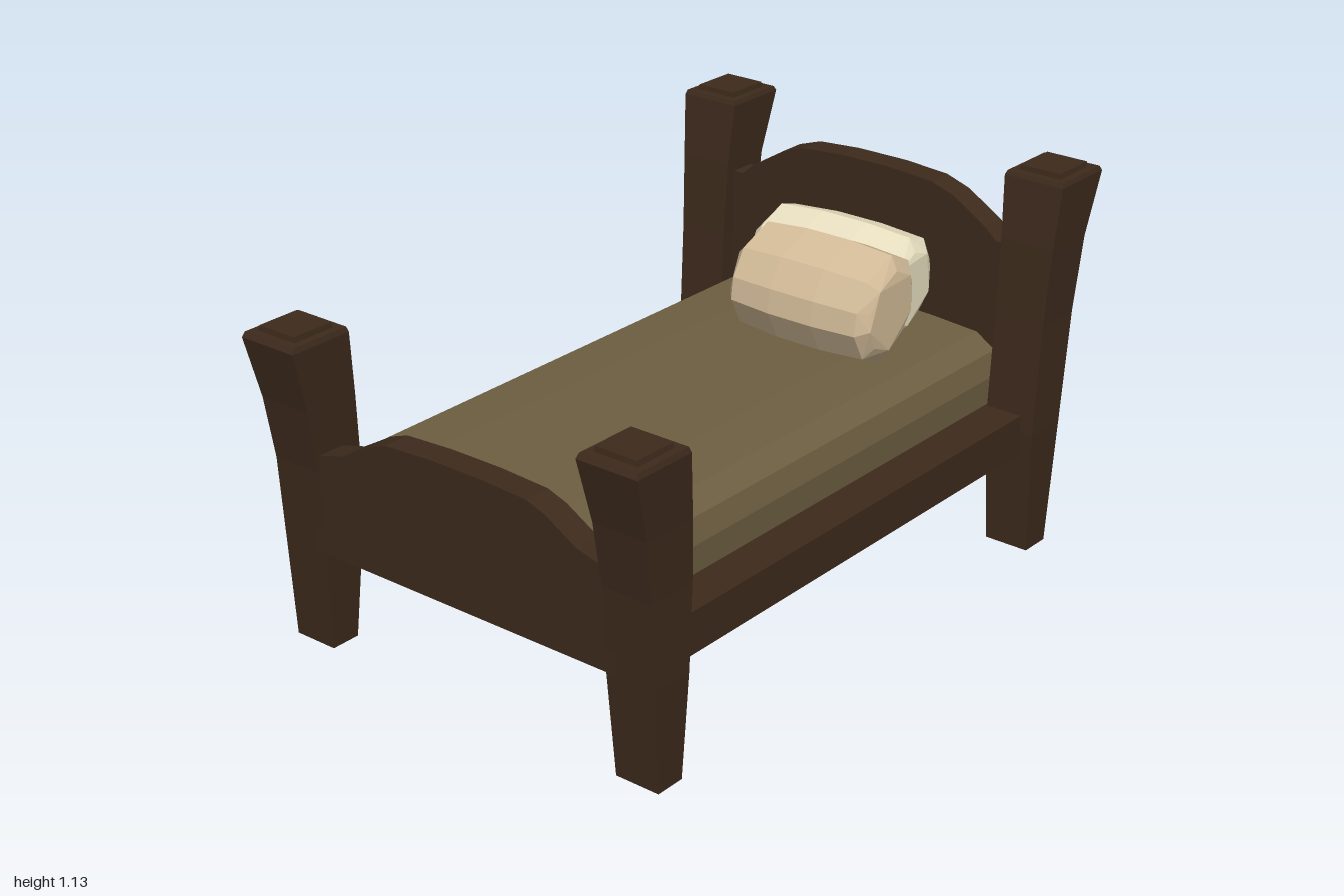
import * as THREE from 'three';
import { ConvexGeometry } from 'three/addons/geometries/ConvexGeometry.js';

const mat = (color) => new THREE.MeshStandardMaterial({ color, flatShading: true });

function addMesh(parent, name, geometry, material) {
  const mesh = new THREE.Mesh(geometry, material);
  mesh.name = name;
  parent.add(mesh);
  return mesh;
}

// Closed four-sided column from levels [y, xMin, xMax, zMin, zMax]; side -1 mirrors it in x
function columnGeometry(levels, side) {
  const rings = levels.map(([y, a, b, z0, z1]) => {
    const [x0, x1] = side > 0 ? [a, b] : [-b, -a];
    return [[x0, y, z1], [x1, y, z1], [x1, y, z0], [x0, y, z0]];
  });
  const pos = [];
  const quad = (a, b, c, d) => pos.push(...a, ...b, ...c, ...a, ...c, ...d);
  for (let i = 0; i < rings.length - 1; i++) {
    const lo = rings[i], hi = rings[i + 1];
    for (let k = 0; k < 4; k++) {
      const n = (k + 1) % 4;
      quad(lo[k], lo[n], hi[n], hi[k]);
    }
  }
  const top = rings[rings.length - 1], bottom = rings[0];
  quad(top[0], top[1], top[2], top[3]);
  quad(bottom[3], bottom[2], bottom[1], bottom[0]);
  const g = new THREE.BufferGeometry();
  g.setAttribute('position', new THREE.Float32BufferAttribute(pos, 3));
  g.computeVertexNormals();
  return g;
}

// Outline symmetric in x, given as its right half from bottom to top, extruded along z
function symmetricSlab(half, z0, z1) {
  const left = half.map(([x, y]) => [-x, y]).reverse();
  const shape = new THREE.Shape([...half, ...left].map(([x, y]) => new THREE.Vector2(x, y)));
  const g = new THREE.ExtrudeGeometry(shape, { depth: z1 - z0, bevelEnabled: false });
  return g.translate(0, 0, z0);
}

// Faceted cushion: the hull of one side outline [z, y] repeated at shrinking sections along x
function pillowGeometry(outline, x0, x1) {
  const n = outline.length;
  const cz = outline.reduce((s, p) => s + p[0], 0) / n;
  const cy = outline.reduce((s, p) => s + p[1], 0) / n;
  const mid = (x0 + x1) / 2, half = (x1 - x0) / 2;
  const points = [];
  for (const [t, s] of [[-1, 0.66], [-0.86, 0.93], [-0.3, 1], [0.3, 1], [0.88, 0.94], [1, 0.7]]) {
    outline.forEach(([z, y], i) => {
      const bend = Math.abs(t) === 1 ? 0.025 * (i % 2) : 0;
      points.push(new THREE.Vector3(mid + half * (t - Math.sign(t) * bend), cy + (y - cy) * s, cz + (z - cz) * s));
    });
  }
  return new ConvexGeometry(points);
}

export function createModel() {
  const bed = new THREE.Group();
  bed.name = 'bed';
  const wood = mat(0x3d2a1c);
  const cloth = mat(0x6e5f42);

  // Flared corner posts, each with a stepped cap
  const frontPost = [
    [0, 0.5, 0.637, 0.81, 0.9],
    [0.3, 0.486, 0.641, 0.785, 0.916],
    [0.54, 0.488, 0.643, 0.775, 0.93],
    [0.72, 0.484, 0.652, 0.785, 0.955],
    [0.9, 0.475, 0.663, 0.803, 1],
    [0.915, 0.48, 0.658, 0.807, 0.993],
  ];
  const frontCap = [[0.91, 0.502, 0.637, 0.832, 0.968], [0.93, 0.505, 0.633, 0.835, 0.965]];
  const backPost = [
    [0, 0.5, 0.637, -0.85, -0.757],
    [0.37, 0.486, 0.642, -0.884, -0.745],
    [0.7, 0.488, 0.645, -0.916, -0.765],
    [0.92, 0.485, 0.653, -0.945, -0.78],
    [1.1, 0.475, 0.663, -1, -0.797],
    [1.113, 0.48, 0.658, -0.993, -0.802],
  ];
  const backCap = [[1.108, 0.502, 0.637, -0.968, -0.825], [1.128, 0.505, 0.633, -0.965, -0.828]];
  for (const side of [1, -1]) {
    const label = side > 0 ? 'Left' : 'Right';
    addMesh(bed, 'frontPost' + label, columnGeometry(frontPost, side), wood);
    addMesh(bed, 'frontPostCap' + label, columnGeometry(frontCap, side), wood);
    addMesh(bed, 'backPost' + label, columnGeometry(backPost, side), wood);
    addMesh(bed, 'backPostCap' + label, columnGeometry(backCap, side), wood);
  }

  // Solid base that shows as the side rails
  const base = addMesh(bed, 'base', new THREE.BoxGeometry(1.2, 0.12, 1.64), wood);
  base.position.set(0, 0.36, 0.01);

  // Arched end boards
  const headboard = [[0.52, 0.3], [0.52, 0.89], [0.45, 0.893], [0.41, 0.928], [0.3, 0.995], [0.225, 1.02], [0.085, 1.03]];
  const footboard = [[0.52, 0.3], [0.52, 0.58], [0.49, 0.586], [0.4, 0.61], [0.3, 0.668], [0.24, 0.689], [0.085, 0.697]];
  addMesh(bed, 'headboard', symmetricSlab(headboard, -0.89, -0.81), wood);
  addMesh(bed, 'footboard', symmetricSlab(footboard, 0.84, 0.92), wood);

  // Mattress with rounded long edges
  const mattress = [[0.48, 0.41], [0.482, 0.5], [0.462, 0.565], [0.4, 0.605], [0.24, 0.616], [0.08, 0.619]];
  addMesh(bed, 'mattress', symmetricSlab(mattress, -0.812, 0.842), cloth);

  // Two pillows leaning against the headboard
  const frontOutline = [
    [-0.3, 0.73], [-0.31, 0.8], [-0.36, 0.88], [-0.48, 0.93], [-0.565, 0.89],
    [-0.588, 0.81], [-0.575, 0.74], [-0.53, 0.66], [-0.43, 0.613], [-0.345, 0.645],
  ];
  const rearOutline = [
    [-0.525, 0.68], [-0.545, 0.77], [-0.6, 0.85], [-0.7, 0.893], [-0.775, 0.87],
    [-0.812, 0.79], [-0.795, 0.7], [-0.74, 0.63], [-0.65, 0.592], [-0.56, 0.62],
  ];
  addMesh(bed, 'frontPillow', pillowGeometry(frontOutline, -0.135, 0.356), mat(0xd2bb98));
  addMesh(bed, 'rearPillow', pillowGeometry(rearOutline, -0.255, 0.265), mat(0xe8dfc0));

  return bed;
}
